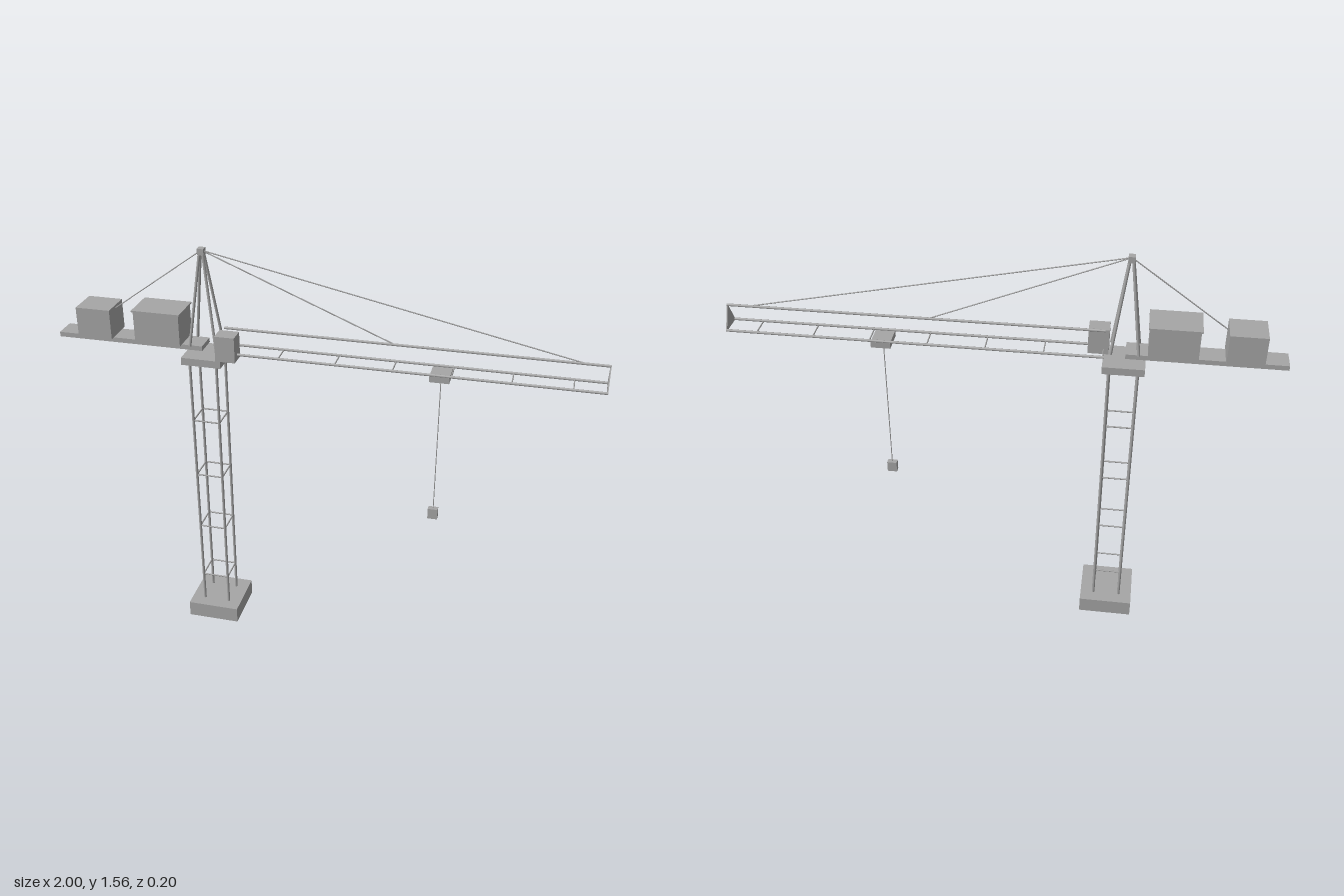
import * as THREE from 'three';

export function createModel() {
  const crane = new THREE.Group();
  crane.name = 'towerCrane';
  const grey = new THREE.MeshStandardMaterial({ color: 0xa6a6a6, side: THREE.DoubleSide });
  grey.name = 'steelGrey';
  const mastX = -0.437;

  function add(name, geometry, parent = crane) {
    const mesh = new THREE.Mesh(geometry, grey);
    mesh.name = name;
    parent.add(mesh);
    return mesh;
  }
  function group(name) {
    const g = new THREE.Group();
    g.name = name;
    crane.add(g);
    return g;
  }
  // sheet-metal box between two corners; a shell is open underneath
  function box(name, [x0, y0, z0], [x1, y1, z1], parent = crane, shell = true) {
    const geo = new THREE.BoxGeometry(x1 - x0, y1 - y0, z1 - z0);
    if (shell) {
      const index = Array.from(geo.index.array);
      index.splice(18, 6); // bottom face
      geo.setIndex(index);
      geo.clearGroups();
    }
    geo.translate((x0 + x1) / 2, (y0 + y1) / 2, (z0 + z1) / 2);
    return add(name, geo, parent);
  }
  // round bar between two points
  function bar(name, a, b, radius, parent = crane, sides = 8) {
    const from = new THREE.Vector3(...a), to = new THREE.Vector3(...b);
    const dir = to.clone().sub(from);
    const mesh = add(name, new THREE.CylinderGeometry(radius, radius, dir.length(), sides), parent);
    mesh.position.copy(from).add(to).multiplyScalar(0.5);
    mesh.quaternion.setFromUnitVectors(new THREE.Vector3(0, 1, 0), dir.normalize());
    return mesh;
  }
  const corners = [[-1, -1], [1, -1], [1, 1], [-1, 1]];

  // foundation and lattice mast
  box('base', [mastX - 0.102, 0, -0.102], [mastX + 0.102, 0.063, 0.102]);
  const mast = group('mast');
  const half = 0.051;
  for (const [sx, sz] of corners)
    bar('mastLeg', [mastX + sx * half, 0.06, sz * half], [mastX + sx * half, 1.135, sz * half], 0.0055, mast);
  for (const y of [0.182, 0.419, 0.656, 0.893]) {
    corners.forEach(([sx, sz], i) => {
      const [tx, tz] = corners[(i + 1) % 4];
      bar('mastBrace', [mastX + sx * half, y, sz * half], [mastX + tx * half, y, tz * half], 0.003, mast, 6);
    });
  }

  // turntable and cab
  box('turntable', [mastX - 0.075, 1.132, -0.075], [mastX + 0.075, 1.16, 0.075]);
  box('cab', [-0.38, 1.16, 0.012], [-0.306, 1.257, 0.075]);

  // counter jib with ballast and machinery
  const rear = group('counterJib');
  box('deck', [-1, 1.18, -0.042], [-0.44, 1.198, 0.042], rear, false);
  box('counterweight', [-0.915, 1.198, -0.06], [-0.784, 1.31, 0.06], rear);
  box('machineryHouse', [-0.69, 1.198, -0.063], [-0.517, 1.316, 0.063], rear);
  box('machineryRoof', [-0.695, 1.316, -0.067], [-0.512, 1.322, 0.067], rear, false);

  // apex frame
  const apex = group('apexFrame');
  for (const [sx, sz] of corners)
    bar('apexLeg', [mastX + sx * 0.049, 1.195, sz * 0.042], [mastX + sx * 0.006, 1.54, sz * 0.006], 0.0055, apex);
  box('apexCap', [mastX - 0.012, 1.533, -0.013], [mastX + 0.012, 1.556, 0.013], apex, false);

  // triangular jib
  const jib = group('jib');
  bar('topChord', [-0.365, 1.262, 0], [1, 1.262, 0], 0.005, jib);
  for (const z of [-0.042, 0.042]) bar('bottomChord', [-0.365, 1.18, z], [1, 1.18, z], 0.005, jib);
  for (let i = 0; i < 7; i++) {
    const x = -0.362 + i * 0.208;
    bar('jibCrossbar', [x, 1.18, -0.042], [x, 1.18, 0.042], 0.0025, jib, 6);
  }
  const end = new THREE.Shape([
    new THREE.Vector2(-0.045, 1.177), new THREE.Vector2(0.045, 1.177), new THREE.Vector2(0, 1.266),
  ]);
  const endGeo = new THREE.ExtrudeGeometry(end, { depth: 0.004, bevelEnabled: false });
  endGeo.rotateY(Math.PI / 2).translate(0.996, 0, 0);
  add('jibEndPlate', endGeo, jib);

  // stay cables
  const stays = group('stayCables');
  for (const [x, y] of [[-0.924, 1.198], [0.262, 1.262], [0.92, 1.262]])
    bar('stayCable', [mastX, 1.548, 0], [x, y, 0], 0.0022, stays, 6);

  // trolley, hoist rope and hook block
  const hoist = group('hoist');
  box('trolley', [0.394, 1.154, -0.046], [0.465, 1.177, 0.046], hoist);
  bar('hoistRope', [0.43, 0.6, 0], [0.43, 1.16, 0], 0.0018, hoist, 6);
  box('hookBlock', [0.411, 0.568, -0.011], [0.448, 0.61, 0.011], hoist);

  return crane;
}
